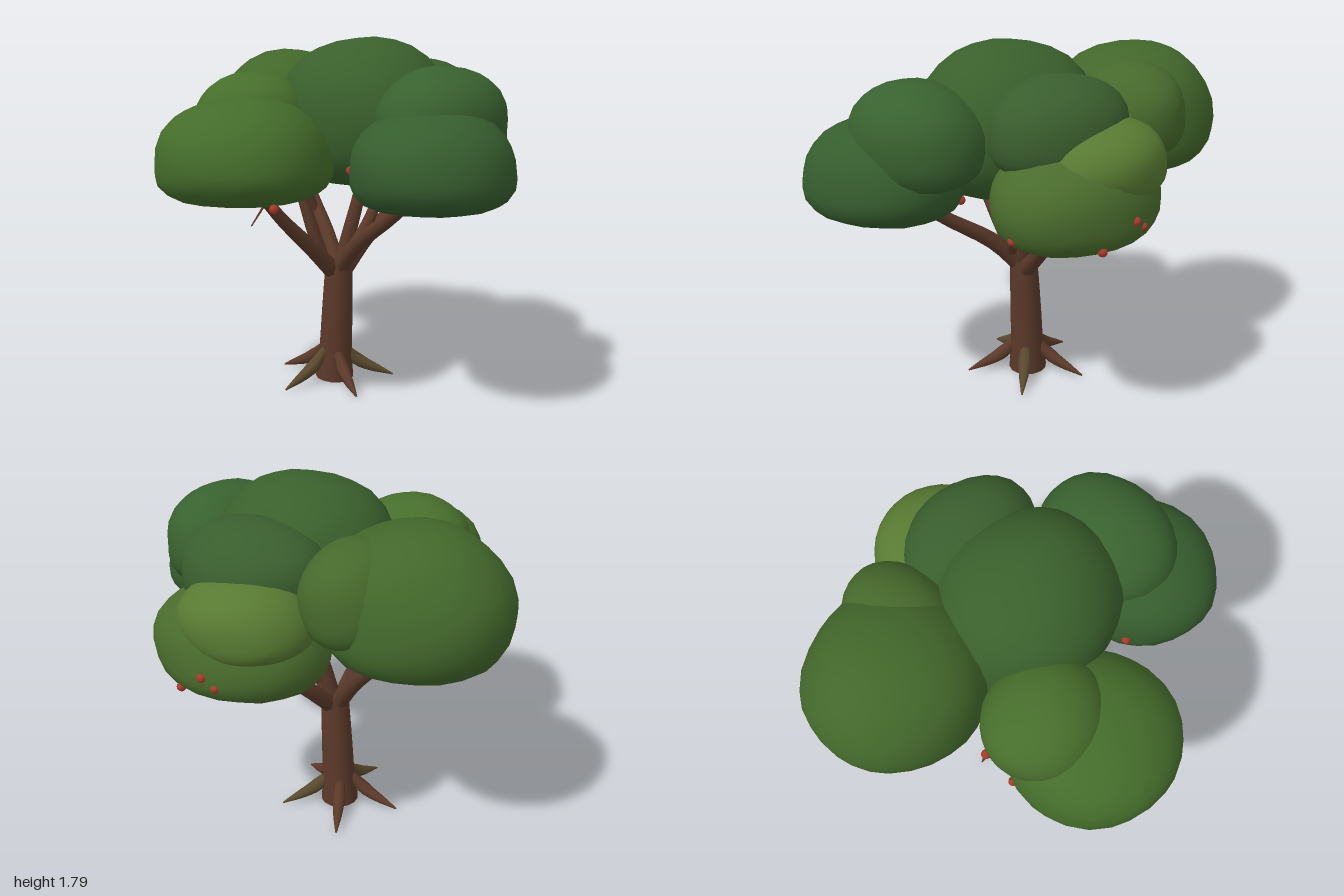
import * as THREE from 'three';
import { mergeVertices } from 'three/addons/utils/BufferGeometryUtils.js';

const mat = (color) => new THREE.MeshStandardMaterial({ color });
const bark = mat(0x5c3a2a);
const moss = mat(0x5a4a2e);
const fruitMat = mat(0xa83a2a);

// Tube along a smooth path whose radius follows a list of values
function taperedTube(points, radii, sides, material, name) {
  const curve = new THREE.CatmullRomCurve3(points.map((p) => new THREE.Vector3(...p)));
  const steps = 10;
  const geo = new THREE.TubeGeometry(curve, steps, 1, sides, false);
  const pos = geo.attributes.position;
  const v = new THREE.Vector3();
  for (let i = 0; i <= steps; i++) {
    const t = i / steps;
    const centre = curve.getPointAt(t);
    const f = t * (radii.length - 1);
    const k = Math.min(Math.floor(f), radii.length - 2);
    const r = THREE.MathUtils.lerp(radii[k], radii[k + 1], f - k);
    for (let j = 0; j <= sides; j++) {
      const n = i * (sides + 1) + j;
      v.fromBufferAttribute(pos, n).sub(centre).multiplyScalar(r).add(centre);
      pos.setXYZ(n, v.x, v.y, v.z);
    }
  }
  const mesh = new THREE.Mesh(geo, material);
  mesh.name = name;
  return mesh;
}

// Leaf clump: tall dome above its widest line, shallow flat belly below, gently uneven
function leafClump([cx, cy, cz], [rx, rz], up, down, color, seed) {
  let geo = new THREE.IcosahedronGeometry(1, 4);
  geo.deleteAttribute('normal');
  geo.deleteAttribute('uv');
  geo = mergeVertices(geo, 1e-4);
  const pos = geo.attributes.position;
  const v = new THREE.Vector3();
  for (let i = 0; i < pos.count; i++) {
    v.fromBufferAttribute(pos, i);
    const p = v.y > 0 ? 2.1 : 3.1;
    const round = (Math.hypot(v.x, v.z) ** p + Math.abs(v.y) ** p) ** (-1 / p);
    const wave = 1 + 0.015 * Math.sin(4 * v.x + seed) * Math.cos(3.5 * v.z + 2 * seed)
      + 0.012 * Math.sin(5 * v.y + 3 * v.x + seed);
    v.multiplyScalar(round * wave);
    pos.setXYZ(i, v.x * rx, v.y * (v.y > 0 ? up : down), v.z * rz);
  }
  geo.computeVertexNormals();
  const mesh = new THREE.Mesh(geo, mat(color));
  mesh.position.set(cx, cy, cz);
  mesh.name = 'leafClump';
  return mesh;
}

export function createModel() {
  const tree = new THREE.Group();
  tree.name = 'tree';

  // Trunk with its closed foot
  tree.add(taperedTube(
    [[-0.09, 0.01, -0.06], [-0.075, 0.3, -0.06], [-0.055, 0.66, -0.057]],
    [0.1, 0.086, 0.082, 0.077, 0.07], 14, bark, 'trunk'));
  const foot = new THREE.Mesh(new THREE.CircleGeometry(0.1, 14).rotateX(Math.PI / 2), bark);
  foot.position.set(-0.09, 0.01, -0.06);
  foot.name = 'trunkFoot';
  tree.add(foot);

  // Roots fanned around the foot
  const roots = new THREE.Group();
  roots.name = 'roots';
  for (let i = 0; i < 5; i++) {
    const a = THREE.MathUtils.degToRad(175 - 72 * i);
    const at = (r, y) => [-0.09 + r * Math.cos(a), y, -0.05 + r * Math.sin(a)];
    roots.add(taperedTube([at(0.06, 0.17), at(0.14, 0.095), at(0.32, 0.012)],
      [0.022, 0.036, 0.024, 0.004], 7, i % 2 ? moss : bark, 'root'));
  }
  tree.add(roots);

  // Main boughs, side branches and twigs: path points, start radius, end radius
  const branches = new THREE.Group();
  branches.name = 'branches';
  [
    [[[-0.06, 0.6, -0.05], [0.1, 0.77, 0.0], [0.36, 0.95, 0.08], [0.58, 1.12, 0.14]], 0.048, 0.025],
    [[[-0.07, 0.58, -0.05], [-0.09, 0.74, 0.12], [-0.13, 0.92, 0.31], [-0.17, 1.12, 0.48]], 0.05, 0.025],
    [[[-0.07, 0.6, -0.06], [-0.19, 0.78, -0.12], [-0.35, 0.97, -0.19], [-0.5, 1.2, -0.26]], 0.048, 0.025],
    [[[-0.05, 0.58, -0.06], [-0.01, 0.74, -0.22], [0.06, 0.89, -0.36], [0.14, 1.1, -0.54]], 0.048, 0.025],
    [[[-0.05, 0.62, -0.06], [-0.01, 0.82, -0.09], [0.03, 1.02, -0.12], [0.07, 1.3, -0.15]], 0.043, 0.025],
    [[[-0.09, 0.66, 0.03], [-0.13, 0.85, 0.08], [-0.17, 1.02, 0.11], [-0.25, 1.3, 0.2]], 0.036, 0.022],
    [[[0.03, 0.72, -0.05], [0.08, 0.86, -0.12], [0.1, 1.02, -0.2], [0.12, 1.25, -0.25]], 0.034, 0.022],
    [[[-0.28, 0.87, -0.15], [-0.29, 0.96, -0.11], [-0.28, 1.2, -0.05]], 0.025, 0.018],
    [[[-0.13, 1.04, 0.4], [-0.1, 0.93, 0.56]], 0.007, 0.003],
    [[[0.1, 1.0, -0.5], [0.12, 0.92, -0.6]], 0.007, 0.003],
  ].forEach(([path, r0, r1]) => branches.add(taperedTube(path, [r0, r1], 8, bark, 'branch')));
  tree.add(branches);

  // Canopy: centre at the widest line, plan radii, height above, depth below, colour
  const canopy = new THREE.Group();
  canopy.name = 'canopy';
  [
    [[0.09, 1.41, -0.08], [0.455, 0.415], 0.39, 0.33, 0x3a602c],
    [[0.13, 1.46, -0.46], [0.35, 0.28], 0.235, 0.2, 0x3a5e2e],
    [[-0.57, 1.37, -0.295], [0.43, 0.41], 0.365, 0.255, 0x42672b],
    [[-0.365, 1.45, -0.45], [0.24, 0.285], 0.24, 0.2, 0x46692c],
    [[-0.17, 1.22, 0.52], [0.415, 0.41], 0.305, 0.19, 0x446c2b],
    [[-0.285, 1.4, 0.33], [0.295, 0.27], 0.23, 0.18, 0x476e2c],
    [[0.14, 1.16, -0.575], [0.415, 0.34], 0.285, 0.195, 0x4a6c2d],
    [[0.06, 1.33, -0.665], [0.31, 0.25], 0.195, 0.15, 0x587a32],
    [[0.63, 1.21, 0.155], [0.365, 0.395], 0.28, 0.19, 0x365d2e],
    [[0.57, 1.41, -0.01], [0.285, 0.355], 0.25, 0.22, 0x39612f],
  ].forEach(([c, r, up, down, color], i) => canopy.add(leafClump(c, r, up, down, color, i * 1.7)));
  tree.add(canopy);

  // Small red fruit along the canopy's lower edges
  const fruits = new THREE.Group();
  fruits.name = 'fruits';
  const fruitGeo = new THREE.IcosahedronGeometry(0.022, 1);
  [
    [0.31, 1.2, 0.34], [0.13, 1.14, -0.91], [0.28, 1.03, -0.86], [-0.54, 1.085, 0.36],
    [0.13, 1.05, 0.66], [0.19, 0.995, -0.32], [0.52, 1.06, -0.57], [-0.86, 1.16, -0.15],
    [-0.57, 1.38, 0.24], [0.52, 1.24, -0.2], [0.45, 1.12, -0.16], [0.07, 1.1, -0.9],
  ].forEach((p) => {
    const fruit = new THREE.Mesh(fruitGeo, fruitMat);
    fruit.position.set(...p);
    fruit.name = 'fruit';
    fruits.add(fruit);
  });
  tree.add(fruits);

  return tree;
}
